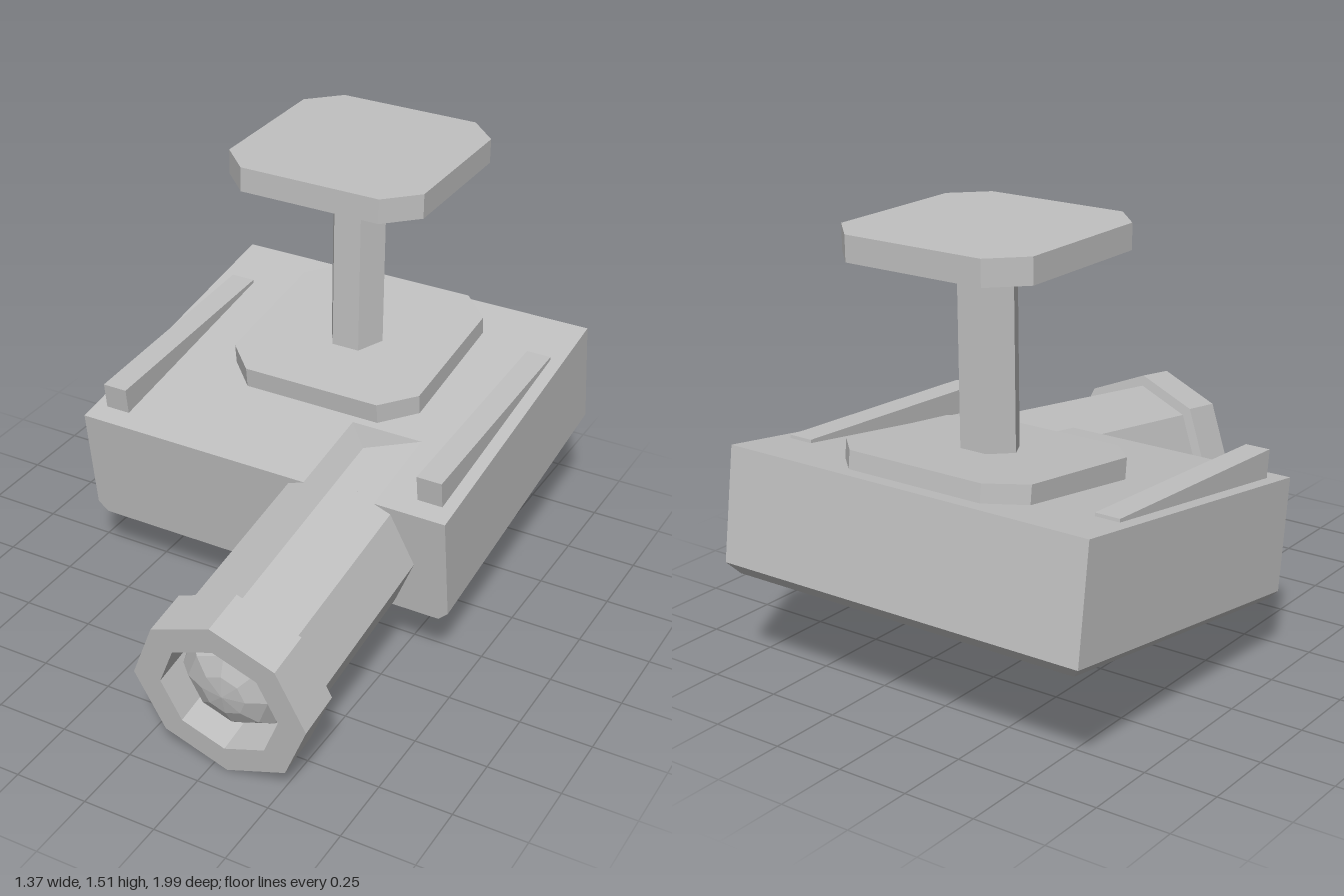
import * as THREE from 'three';
import { ConvexGeometry } from 'three/addons/geometries/ConvexGeometry.js';

const TILT = 0.145;          // nose-down pitch of the housing
const TUBE_X = 0.303, TUBE_Y = 0.441, TUBE_R = 0.264;
const TOP = 0.652, BOTTOM = 0.233, FRONT = 0.107, REAR = -1.045;

export function createModel() {
  const model = new THREE.Group();
  model.name = 'model';
  const grey = new THREE.MeshStandardMaterial({ color: 0xc0c0c0, flatShading: true });
  grey.name = 'grey';

  const add = (parent, name, geometry, x = 0, y = 0, z = 0) => {
    const mesh = new THREE.Mesh(geometry, grey);
    mesh.name = name;
    mesh.position.set(x, y, z);
    parent.add(mesh);
    return mesh;
  };
  const hull = (points) => new ConvexGeometry(points.map((p) => new THREE.Vector3(...p)));

  // Square slab with cut corners, resting on its own y = 0
  const slab = (half, cut, height) => {
    const a = half, b = half - cut;
    const shape = new THREE.Shape(
      [[a, -b], [a, b], [b, a], [-b, a], [-a, b], [-a, -b], [-b, -a], [b, -a]]
        .map(([x, y]) => new THREE.Vector2(x, y)));
    return new THREE.ExtrudeGeometry(shape, { depth: height, bevelEnabled: false })
      .rotateX(-Math.PI / 2);
  };

  const housing = new THREE.Group();
  housing.name = 'housing';
  housing.rotation.x = TILT;
  model.add(housing);

  // Main box, lower side and rear edges chamfered
  const W = 0.683, C = 0.035;
  const corners = [];
  for (const s of [-1, 1]) {
    corners.push(
      [s * W, TOP, FRONT], [s * W, TOP, REAR],
      [s * W, BOTTOM + C, FRONT], [s * W, BOTTOM + C, REAR],
      [s * (W - C), BOTTOM, FRONT], [s * (W - C), BOTTOM, REAR + C]);
  }
  add(housing, 'body', hull(corners));

  // Wedge rails on the top sides
  for (const s of [-1, 1]) {
    const points = [];
    for (const x of [0.55, 0.638]) {
      points.push([s * x, TOP - 0.02, 0.032], [s * x, 0.747, 0.032],
        [s * x, 0.663, -0.824], [s * x, TOP - 0.02, -0.824]);
    }
    add(housing, s > 0 ? 'leftRail' : 'rightRail', hull(points));
  }

  // Eight-sided tube pieces along z; half = lower half only
  const tube = (name, rFront, rBack, z0, z1, half = false) => {
    const g = new THREE.CylinderGeometry(rFront, rBack, z1 - z0, half ? 4 : 8, 1, false,
      half ? -Math.PI / 2 : 0, half ? Math.PI : Math.PI * 2).rotateX(Math.PI / 2);
    add(housing, name, g, TUBE_X, TUBE_Y, (z0 + z1) / 2);
  };
  tube('barrel', TUBE_R, TUBE_R, 0.024, 0.75);
  tube('undersideCore', 0.238, 0.238, -0.26, 0.03, true);
  tube('undersideRing', TUBE_R, TUBE_R, -0.168, -0.077, true);
  tube('undersideTaper', TUBE_R, 0.206, -0.5, -0.239, true);

  // Barrel ridge running out over the top of the body
  const ridge = TUBE_Y + TUBE_R;
  const ridgePoints = [[TUBE_X, ridge, 0.1], [TUBE_X, ridge, -0.072]];
  for (const s of [-1, 1]) {
    const x = TUBE_X + s * 0.128;
    ridgePoints.push([x, TOP, 0.1], [x, TOP, -0.237]);
  }
  add(housing, 'barrelRidge', hull(ridgePoints));

  // Muzzle collar and faceted lens
  const lathe = (points) => new THREE.LatheGeometry(
    points.map(([r, y]) => new THREE.Vector2(r, y)), 8).rotateX(Math.PI / 2);
  add(housing, 'muzzleCollar',
    lathe([[0.25, 0], [0.303, 0], [0.303, 0.163], [0.207, 0.163], [0.207, 0]]),
    TUBE_X, TUBE_Y, 0.738);
  const dome = [];
  for (let i = 0; i <= 4; i++) {
    const a = (i / 4) * Math.PI / 2;
    dome.push([i === 4 ? 0 : 0.2 * Math.cos(a), 0.13 * Math.sin(a)]);
  }
  add(housing, 'lens', lathe(dome), TUBE_X, TUBE_Y, 0.752);

  // Base plate, post and top plate
  const base = add(housing, 'basePlate', slab(0.358, 0.106, 0.1), 0, 0.619, -0.624);
  base.rotation.x = -0.018;
  const post = new THREE.CylinderGeometry(0.1, 0.1, 0.72, 6).rotateY(Math.PI / 6);
  add(model, 'post', post, 0, 1.08, -0.498);
  add(model, 'topPlate', slab(0.358, 0.106, 0.085), 0, 1.43, -0.498);

  return model;
}
